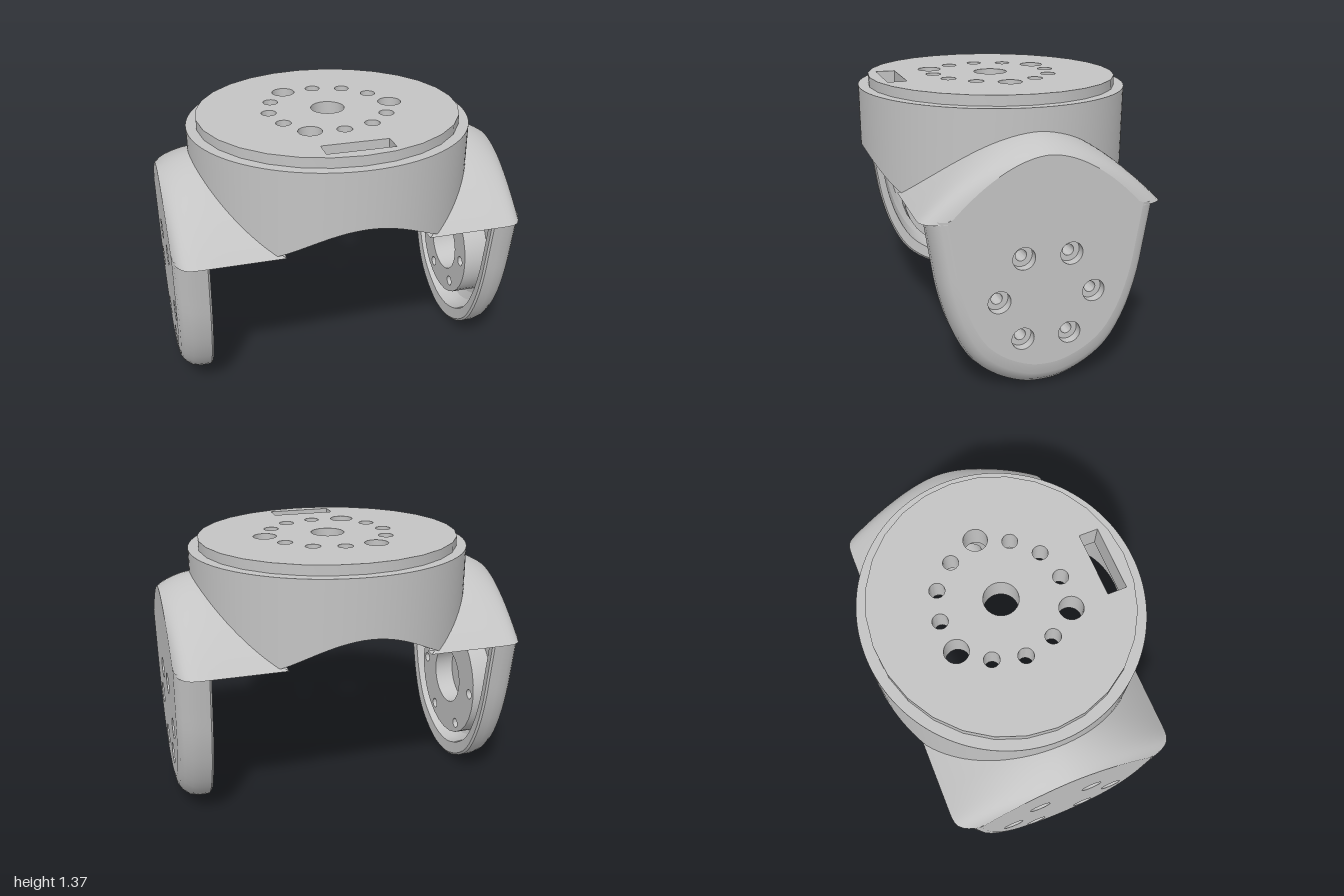
import * as THREE from 'three';
import { toCreasedNormals } from 'three/addons/utils/BufferGeometryUtils.js';

const gray = new THREE.MeshStandardMaterial({ color: 0xc4c4c4, side: THREE.DoubleSide });
gray.name = 'light gray';

function mesh(geometry, name) {
  const m = new THREE.Mesh(toCreasedNormals(geometry, 0.5), gray);
  m.name = name;
  return m;
}

// Skin a list of equally long rows of points
function loft(rows) {
  const n = rows[0].length, index = [];
  for (let r = 0; r < rows.length - 1; r++) {
    for (let c = 0; c < n - 1; c++) {
      const a = r * n + c, b = a + n;
      index.push(a, b, a + 1, a + 1, b, b + 1);
    }
  }
  const g = new THREE.BufferGeometry();
  g.setAttribute('position', new THREE.Float32BufferAttribute(rows.flat(2), 3));
  g.setIndex(index);
  return g;
}

function circleHole(x, y, r) {
  return new THREE.Path().absarc(x, y, r, 0, Math.PI * 2, true);
}

function extrude(shape, depth) {
  return new THREE.ExtrudeGeometry(shape, { depth, bevelEnabled: false, curveSegments: 14 });
}

const SKIRT = 0.865, RIM = 1.315, ROOF = 1.23, WALL = 0.05;
const DRUM_X = 0.68, DRUM_Z = 0.715, FACE_Z = 0.876;

// Shoulder: an arched vault whose width and height shrink towards the arm face
const nearFace = (z) => THREE.MathUtils.clamp((z - 0.66) / (FACE_Z - 0.66), 0, 1);
const vaultWidth = (z) => 0.575 - 0.115 * Math.pow(nearFace(z), 8);
const vaultRise = (z) => 0.345 - 0.07 * Math.pow(nearFace(z), 2);
const arch = (u) => 1 - Math.pow(Math.min(1, Math.abs(u)), 1.8);

function makeShoulder() {
  const steps = 18, cols = 40, rows = [];
  for (let i = 0; i <= steps; i++) {
    const v = Math.sin(i / steps * Math.PI / 2), outer = [], inner = [];
    for (let j = 0; j <= cols; j++) {
      const u = j / cols * 2 - 1;
      const start = DRUM_Z * Math.sqrt(1 - Math.pow(u * 0.575 / DRUM_X, 2)) - 0.025;
      const z = THREE.MathUtils.lerp(start, FACE_Z, v);
      const w = vaultWidth(z), h = vaultRise(z);
      outer.push([u * w, SKIRT + h * arch(u), z]);
      inner.unshift([u * (w - WALL), SKIRT + (h - WALL) * arch(u), Math.min(z, 0.85)]);
    }
    rows.push([...outer, ...inner, outer[0]]);
  }
  return mesh(loft(rows), 'shoulder');
}

// Drum: oval wall, its lower edge arched at the sides and resting on the shoulders
const drumRadius = (a) => 1 / Math.hypot(Math.cos(a) / DRUM_X, Math.sin(a) / DRUM_Z);

function drumBottom(a) {
  const r = drumRadius(a), x = r * Math.cos(a), z = Math.abs(r * Math.sin(a));
  const off = Math.acos(Math.min(1, Math.abs(Math.cos(a))));
  const gap = off > 0.66 ? 0 : 0.155 * Math.pow(0.5 + 0.5 * Math.cos(Math.PI * off / 0.66), 0.6);
  const seat = off < 0.5 ? 0 : vaultRise(z) * arch(x / vaultWidth(z)) - 0.035;
  return SKIRT + Math.max(gap, seat, 0);
}

function makeDrum() {
  const segs = 128;
  const ring = (inset, height) => Array.from({ length: segs + 1 }, (_, i) => {
    const a = i / segs * Math.PI * 2, r = drumRadius(a) - inset;
    return [r * Math.cos(a), height(a), r * Math.sin(a)];
  });
  return mesh(loft([
    ring(0, drumBottom), ring(0, () => RIM), ring(0.07, () => RIM), ring(0.07, () => ROOF),
    ring(WALL, () => ROOF), ring(WALL, drumBottom), ring(0, drumBottom),
  ]), 'drum');
}

// Top plate with centre hole, ring of twelve holes and a slot
function makeTopPlate() {
  const s = new THREE.Shape().absellipse(0, 0, 0.63, 0.665, 0, Math.PI * 2);
  s.holes.push(circleHole(0, 0, 0.085));
  for (let i = 0; i < 12; i++) {
    const a = i * Math.PI / 6, big = i % 4 === 1;
    const r = big ? 0.33 : 0.303;
    s.holes.push(circleHole(r * Math.cos(a), r * Math.sin(a), big ? 0.059 : 0.038));
  }
  s.holes.push(new THREE.Path([[0.472, -0.165], [0.472, 0.165], [0.568, 0.165], [0.568, -0.165]]
    .map(([x, y]) => new THREE.Vector2(x, y))));
  const g = extrude(s, 1.365 - ROOF);
  g.rotateX(Math.PI / 2);
  g.translate(0, 1.365, 0);
  return mesh(g, 'topPlate');
}

// U-shaped arm outline from the left edge, round the bottom, to the right edge
const half = [[0.54, 0.88], [0.51, 0.68], [0.48, 0.5], [0.425, 0.32], [0.34, 0.165], [0.23, 0.07], [0.1, 0.012]];
const outline = new THREE.SplineCurve(
  [...half, [0, 0], ...half.map(([x, y]) => [-x, y]).reverse()].map(([x, y]) => new THREE.Vector2(x, y))
).getPoints(44);
const scaled = (k) => outline.map((p) => new THREE.Vector2(p.x * k, 0.88 + (p.y - 0.88) * k));

const HUB_Y = 0.475;

function boltHoles(shape, circle, r) {
  for (let i = 0; i < 6; i++) {
    const a = i * Math.PI / 3;
    shape.holes.push(circleHole(circle * Math.cos(a), HUB_Y + circle * Math.sin(a), r));
  }
}

function makeArm(name, hubRadius, boltCircle, slotted) {
  const arm = new THREE.Group();
  arm.name = name;
  arm.add(makeShoulder());

  // Rounded rim: inner wall, lip, outer wall, bevel
  const profile = [[0.82, 0.83], [0.87, 0.81], [0.9, 0.77], [0.91, 0.715], [0.985, 0.71], [1, 0.72],
    [1, 0.77], [0.985, 0.815], [0.95, 0.85], [0.91, 0.868], [0.85, FACE_Z]];
  arm.add(mesh(loft(profile.map(([k, z]) => scaled(k).map((p) => [p.x, p.y, z]))), 'armRim'));

  // Outer plate with arched top and wide bolt recesses
  const top = Array.from({ length: 39 }, (_, i) => {
    const u = (i + 1) / 20 - 1;
    return new THREE.Vector2(u * vaultWidth(FACE_Z), SKIRT + vaultRise(FACE_Z) * arch(u));
  });
  const plate = new THREE.Shape([...scaled(0.85), ...top]);
  boltHoles(plate, boltCircle, 0.054);
  const plateGeo = extrude(plate, FACE_Z - 0.83);
  plateGeo.translate(0, 0, 0.83);
  arm.add(mesh(plateGeo, 'armPlate'));

  // Inner hub with bore, bolt holes and optional slot
  const hub = new THREE.Shape(), bore = 0.157, w = 0.055, up = Math.PI / 2;
  if (slotted) {
    const a = Math.asin(w / hubRadius), b = Math.asin(w / bore);
    hub.absarc(0, HUB_Y, hubRadius, up + a, up - a + Math.PI * 2, false);
    hub.absarc(0, HUB_Y, bore, up - b + Math.PI * 2, up + b, true);
    hub.closePath();
  } else {
    hub.absarc(0, HUB_Y, hubRadius, 0, Math.PI * 2);
    hub.holes.push(circleHole(0, HUB_Y, bore));
  }
  boltHoles(hub, boltCircle, 0.027);
  const front = slotted ? 0.7 : 0.725;
  const hubGeo = extrude(hub, 0.832 - front);
  hubGeo.translate(0, 0, front);
  arm.add(mesh(hubGeo, 'hub'));
  return arm;
}

export function createModel() {
  const model = new THREE.Group();
  model.name = 'forkBracket';
  const body = new THREE.Group();
  body.name = 'bracketBody';
  body.rotation.y = -0.5;
  const backArm = makeArm('backArm', 0.292, 0.228, true);
  backArm.rotation.y = Math.PI;
  body.add(makeDrum(), makeTopPlate(), makeArm('frontArm', 0.335, 0.283, false), backArm);
  model.add(body);
  return model;
}
